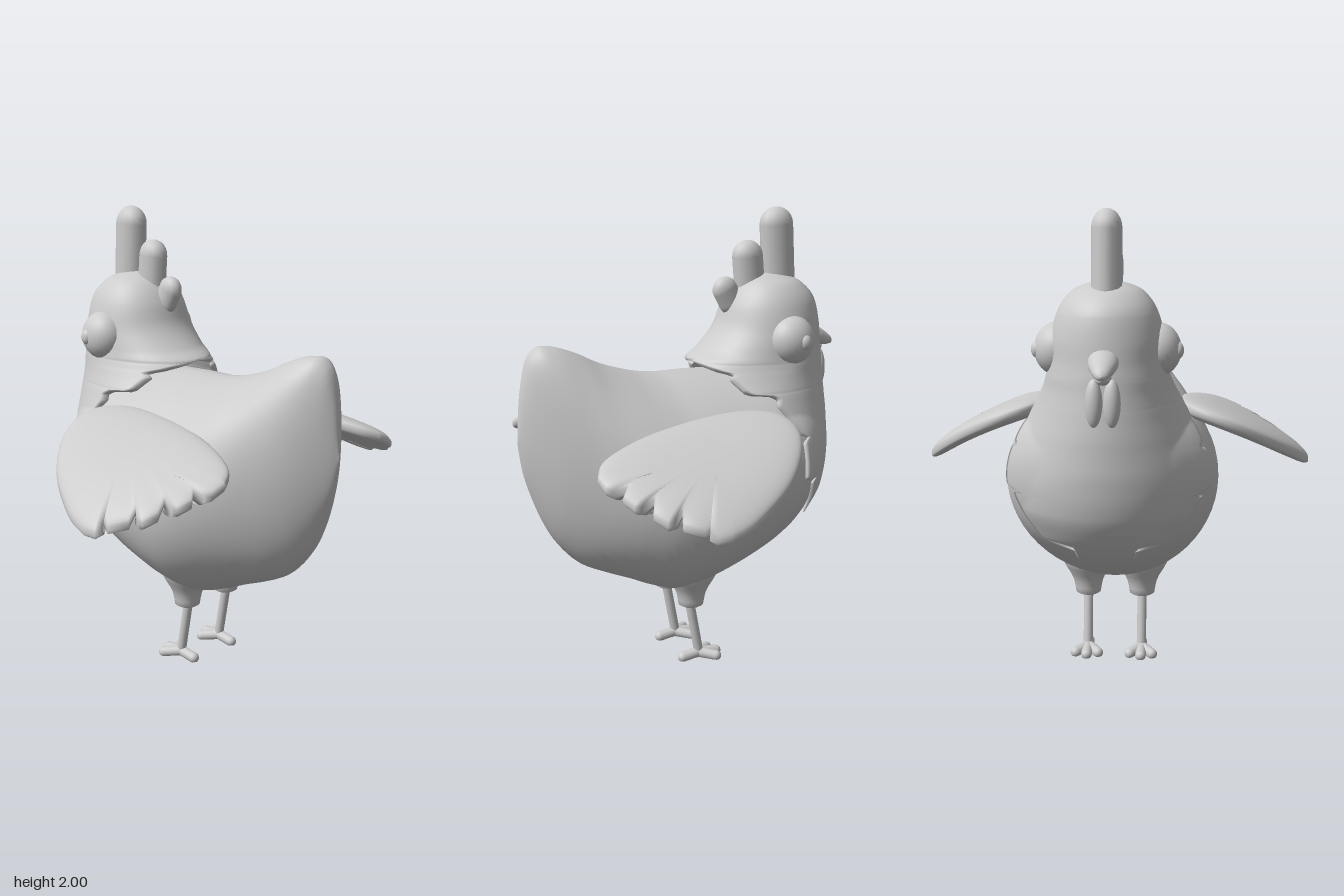
import * as THREE from 'three';
import { mergeVertices } from 'three/addons/utils/BufferGeometryUtils.js';

const grey = new THREE.MeshStandardMaterial({ color: 0xcccccc, side: THREE.DoubleSide });

function add(parent, name, geometry) {
  const mesh = new THREE.Mesh(geometry, grey);
  mesh.name = name;
  parent.add(mesh);
}

// Smooth, overshoot-free interpolation of table rows keyed by their first number
function at(table, k) {
  const n = table.length - 1;
  k = Math.min(Math.max(k, table[0][0]), table[n][0]);
  let i = 0;
  while (i < n - 1 && k > table[i + 1][0]) i++;
  const h = table[i + 1][0] - table[i][0], t = (k - table[i][0]) / h;
  const slope = (j, c) => (table[j + 1][c] - table[j][c]) / (table[j + 1][0] - table[j][0]);
  const tangent = (j, c) => {
    if (j === 0 || j === n) return slope(j === 0 ? 0 : n - 1, c);
    const a = slope(j - 1, c), b = slope(j, c);
    return a * b <= 0 ? 0 : (2 * a * b) / (a + b);
  };
  return table[i].map((v, c) => c === 0 ? k :
    v * (1 + 2 * t) * (1 - t) ** 2 + table[i + 1][c] * t * t * (3 - 2 * t) +
    h * tangent(i, c) * t * (1 - t) ** 2 - h * tangent(i + 1, c) * t * t * (1 - t));
}

// Surface through rows of points; coincident seam and pole points are welded
function grid(rows, flip = false) {
  const w = rows[0].length, index = [];
  for (let i = 0; i < rows.length - 1; i++) {
    for (let j = 0; j < w - 1; j++) {
      const a = i * w + j, b = a + w, c = a + 1, d = b + 1;
      index.push(...(flip ? [a, c, b, b, c, d] : [a, b, c, b, d, c]));
    }
  }
  let g = new THREE.BufferGeometry();
  g.setAttribute('position', new THREE.Float32BufferAttribute(rows.flat(2), 3));
  g.setIndex(index);
  g = mergeVertices(g, 1e-5);
  g.computeVertexNormals();
  return g;
}

// Sections along x; table rows are [x, bottom, top, half width, taper].
// A taper above 1 narrows the upper half of a section into a pear shape.
function loft(table, steps, sides) {
  const x0 = table[0][0], x1 = table[table.length - 1][0], rows = [];
  for (let i = 0; i <= steps; i++) {
    const x = x0 + (x1 - x0) * (1 - Math.cos(Math.PI * i / steps)) / 2;
    const [, lo, hi, w, taper = 1] = at(table, x), row = [];
    for (let j = 0; j <= sides; j++) {
      const a = 2 * Math.PI * (j % sides) / sides, c = Math.cos(a), s = Math.sin(a);
      const z = w * Math.sign(c) * Math.abs(c) ** (s > 0 ? taper : 1);
      row.push([x, (lo + hi) / 2 + (hi - lo) / 2 * s, z]);
    }
    rows.push(row);
  }
  return grid(rows);
}

// Rounded rod between two points, squashed in z about its axis
function rod(a, b, r, zScale = 1) {
  const from = new THREE.Vector3(...a), to = new THREE.Vector3(...b);
  const dir = to.clone().sub(from), g = new THREE.CapsuleGeometry(r, dir.length(), 6, 14);
  g.applyQuaternion(new THREE.Quaternion().setFromUnitVectors(new THREE.Vector3(0, 1, 0), dir.clone().normalize()));
  g.scale(1, 1, zScale);
  const mid = from.add(to).multiplyScalar(0.5);
  return g.translate(mid.x, mid.y, mid.z);
}

const ball = (x, y, z, rx, ry, rz) => new THREE.SphereGeometry(1, 28, 20).scale(rx, ry, rz).translate(x, y, z);

const bodyTable = [
  [-0.665, 1, 1, 0, 1.2], [-0.65, 0.86, 1.12, 0.1, 1.2], [-0.6, 0.72, 1.22, 0.21, 1.2],
  [-0.5, 0.6, 1.28, 0.325, 1.25], [-0.4, 0.53, 1.3, 0.4, 1.25], [-0.3, 0.475, 1.31, 0.435, 1.25],
  [-0.15, 0.41, 1.315, 0.455, 1.25], [0, 0.36, 1.32, 0.457, 1.25], [0.1, 0.345, 1.32, 0.45, 1.25],
  [0.2, 0.375, 1.33, 0.428, 1.22], [0.3, 0.42, 1.355, 0.385, 1.17], [0.4, 0.46, 1.39, 0.325, 1.1],
  [0.5, 0.51, 1.44, 0.255, 1], [0.6, 0.615, 1.473, 0.18, 0.85], [0.65, 0.7, 1.478, 0.135, 0.8],
  [0.7, 0.82, 1.44, 0.083, 0.8], [0.74, 0.95, 1.29, 0.033, 0.9], [0.76, 1.08, 1.08, 0, 1]];

function bodyHalfWidth(x, y) {
  const [, lo, hi, w, taper] = at(bodyTable, x);
  const t = (y - (lo + hi) / 2) / Math.max((hi - lo) / 2, 1e-6);
  return Math.abs(t) < 1 ? w * (1 - t * t) ** (t > 0 ? taper / 2 : 0.5) : 0;
}

// Head and breast plumage: [y, front x, centre x, back x, half width]
const headTable = [
  [0.55, -0.46, -0.12, 0.1, 0.34], [0.6, -0.52, -0.12, 0.1, 0.38], [0.7, -0.605, -0.12, 0.1, 0.42],
  [0.8, -0.655, -0.12, 0.1, 0.455], [0.9, -0.677, -0.12, 0.1, 0.458], [1, -0.686, -0.14, 0.1, 0.43],
  [1.1, -0.686, -0.2, 0.08, 0.375], [1.2, -0.68, -0.28, 0.05, 0.315], [1.3, -0.67, -0.36, 0, 0.265],
  [1.36, -0.665, -0.4, -0.035, 0.246], [1.4, -0.66, -0.4, -0.095, 0.24], [1.5, -0.65, -0.42, -0.18, 0.228],
  [1.6, -0.63, -0.42, -0.22, 0.2], [1.68, -0.56, -0.415, -0.28, 0.142], [1.71, -0.48, -0.41, -0.34, 0.07],
  [1.72, -0.41, -0.41, -0.41, 0]];

// Scalloped rear edge of the plumage: [y, x], straight between points
const edge = [
  [0.6, -0.5], [0.64, -0.535], [0.66, -0.55], [0.672, -0.48], [0.855, -0.44], [0.862, -0.475], [0.88, -0.385],
  [1.04, -0.385], [1.055, -0.42], [1.07, -0.38], [1.19, -0.3], [1.22, -0.305], [1.235, -0.275], [1.245, -0.175],
  [1.305, -0.125], [1.32, -0.15], [1.335, -0.09], [1.36, -0.03], [1.37, 0]];

function edgeX(y) {
  let i = 0;
  while (i < edge.length - 2 && y > edge[i + 1][0]) i++;
  const [y0, x0] = edge[i], [y1, x1] = edge[i + 1];
  return x0 + (x1 - x0) * (y - y0) / (y1 - y0);
}

function headGeometry() {
  const rows = [], cols = 48;
  for (let i = 0; i <= 132; i++) {
    const y = i < 12 ? 1.72 - 0.12 * (i / 12) ** 2 : 1.6 - 0.995 * (i - 12) / 120;
    const [, xf, cx, xb, w] = at(headTable, y), e = edgeX(y);
    const reach = e < cx ? cx - xf : xb - cx;
    const full = y > 1.37 || e >= xb;
    const end = full ? Math.PI : Math.acos(Math.min(1, Math.max(-1, (cx - e) / reach)));
    const row = [];
    for (let j = 0; j <= cols; j++) {
      const a = end * (2 * j / cols - 1), c = Math.cos(a);
      const x = cx - (c > 0 ? cx - xf : xb - cx) * c;
      let z = w * Math.sin(a);
      if (full && (j === 0 || j === cols)) z = 0;
      // keep the plumage just outside the body
      const skin = y < 1.37 ? bodyHalfWidth(x, y) : 0;
      if (skin > 0 && Math.abs(z) < skin + 0.018) z = Math.sign(z) * (skin + 0.018);
      row.push([x, y, z]);
    }
    // turned-in rim gives the edge its thickness
    const rim = ([x, y, z]) => full ? [x, y, z] : [x - 0.008, y - 0.012, z * 0.9];
    rows.push([rim(row[0]), ...row, rim(row[cols])]);
  }
  return grid(rows);
}

// Wing: smooth leading outline plus feather tips, a rounded slab drooping outward
function wingGeometry(side) {
  const smooth = new THREE.SplineCurve([
    [0.22, 0.87], [0.1, 0.843], [-0.08, 0.755], [-0.2, 0.655], [-0.28, 0.54], [-0.298, 0.44], [-0.26, 0.35],
    [-0.16, 0.292], [-0.03, 0.274], [0.12, 0.28], [0.3, 0.31], [0.45, 0.36], [0.56, 0.42], [0.605, 0.49]
  ].map(p => new THREE.Vector2(...p))).getPoints(52).map(p => [p.x, p.y]);
  const feathers = [
    [0.6, 0.55], [0.58, 0.575], [0.515, 0.57], [0.555, 0.615], [0.53, 0.665], [0.505, 0.675], [0.44, 0.65],
    [0.475, 0.715], [0.44, 0.765], [0.41, 0.765], [0.36, 0.725], [0.385, 0.785], [0.315, 0.83], [0.255, 0.805],
    [0.3, 0.84], [0.28, 0.865], [0.22, 0.87]];
  const outline = [...smooth, ...feathers], rows = [], steps = 24;
  for (let i = 0; i <= steps; i++) {
    const a = Math.PI * i / steps, c = Math.cos(a), s = i % steps ? Math.sin(a) ** 0.5 : 0;
    rows.push(outline.map(([px, pz]) => {
      const x = 0.12 + (px - 0.12) * s, z = 0.56 + (pz - 0.56) * s, d = z - 0.28;
      const y = 1.163 - 0.09 * (x + 0.1) - 0.2 * d - 0.45 * d * d;
      return [x, y + 0.047 * Math.sign(c) * Math.abs(c) ** 0.65, side * z];
    }));
  }
  return grid(rows, side > 0);
}

export function createModel() {
  const model = new THREE.Group();
  model.name = 'hen';
  add(model, 'bodyAndTail', loft(bodyTable, 72, 56));
  add(model, 'headAndBreastPlumage', headGeometry());

  // Comb
  add(model, 'combFront', rod([-0.472, 1.69, 0], [-0.458, 1.923, 0], 0.077, 0.8));
  add(model, 'combMiddle', rod([-0.33, 1.64, 0], [-0.316, 1.792, 0], 0.07, 0.8));
  add(model, 'combBack', rod([-0.235, 1.6, 0], [-0.207, 1.652, 0], 0.058, 0.7));

  // Beak
  add(model, 'upperBeak', loft([[-0.76, 1.385, 1.385, 0], [-0.752, 1.37, 1.405, 0.022],
    [-0.72, 1.368, 1.432, 0.04], [-0.65, 1.375, 1.475, 0.06], [-0.58, 1.38, 1.5, 0.06]], 16, 20));
  add(model, 'lowerBeak', loft([[-0.71, 1.365, 1.365, 0], [-0.695, 1.345, 1.385, 0.025],
    [-0.6, 1.33, 1.39, 0.045]], 10, 16));

  for (const side of [1, -1]) {
    const half = new THREE.Group();
    half.name = side > 0 ? 'nearSide' : 'farSide';
    model.add(half);
    add(half, 'wing', wingGeometry(side));
    add(half, 'eye', ball(-0.424, 1.447, side * 0.2, 0.106, 0.108, 0.095));
    add(half, 'pupil', ball(-0.447, 1.447, side * 0.28, 0.03, 0.035, 0.025));
    add(half, 'wattle', ball(-0.672, 1.27, side * 0.035, 0.032, 0.095, 0.034));

    // Leg
    const z = side * 0.122;
    const thigh = [[0, 0.268], [0.045, 0.268], [0.056, 0.275], [0.06, 0.3], [0.066, 0.33], [0.08, 0.362],
      [0.1, 0.395], [0.118, 0.43], [0.125, 0.47]].map(p => new THREE.Vector2(...p));
    add(half, 'thigh', new THREE.LatheGeometry(thigh, 28).translate(0.018, 0, z));
    add(half, 'shank', rod([-0.02, 0.04, z], [0.024, 0.28, z], 0.021));
    // Toes, flattened where they meet the floor
    const toes = [[-0.108, 0], [-0.085, 0.05], [-0.085, -0.05], [0.057, 0]];
    toes.forEach(([x, dz], i) => {
      const g = rod([-0.02, 0.026, z], [x, 0.016, z + dz], 0.024);
      const p = g.attributes.position;
      for (let k = 0; k < p.count; k++) p.setY(k, Math.max(0, p.getY(k)));
      add(half, i < 3 ? 'frontToe' : 'backToe', g);
    });
  }
  return model;
}
